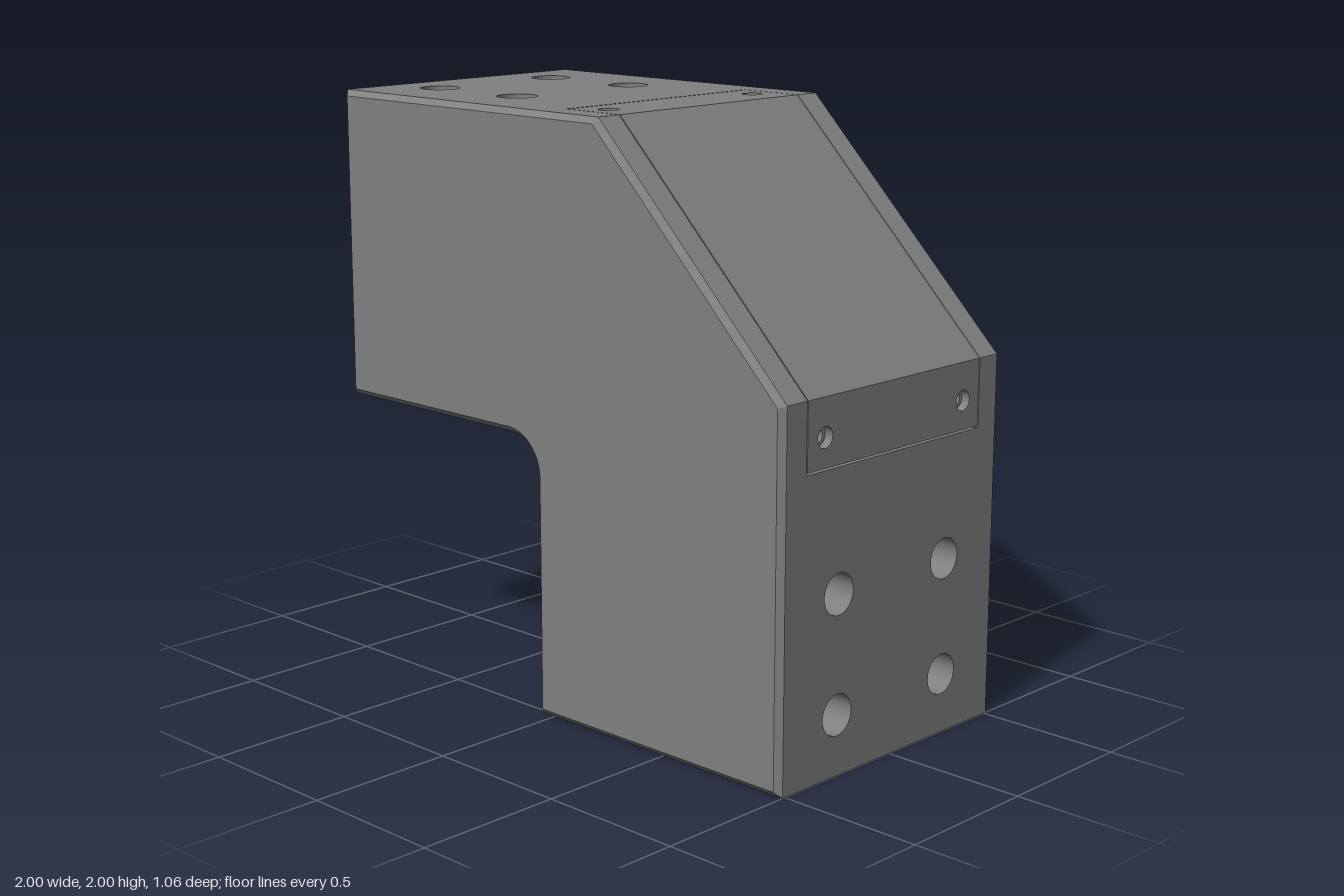
import * as THREE from 'three';

const T = 0.13;      // wall thickness
const HALF = 0.4;    // half width of the square sockets
const BEVEL = 0.02;

export function createModel() {
  const root = new THREE.Group();
  root.name = 'hollowElbowBracket';
  const grey = new THREE.MeshStandardMaterial({ color: 0x808080, side: THREE.DoubleSide });
  grey.name = 'grey';

  const add = (name, geometry, x = 0, y = 0, z = 0, parent = root) => {
    const mesh = new THREE.Mesh(geometry, grey);
    mesh.name = name;
    mesh.position.set(x, y, z);
    parent.add(mesh);
    return mesh;
  };

  // Flat wall from u0 to u1 with pairs of round holes; upright swaps its run from x to y
  const wall = (u0, u1, halfZ, holes, holeZ, r, upright) => {
    const s = new THREE.Shape();
    s.moveTo(u0, -halfZ).lineTo(u1, -halfZ).lineTo(u1, halfZ).lineTo(u0, halfZ).closePath();
    for (const u of holes) for (const side of [-1, 1]) {
      s.holes.push(new THREE.Path().absarc(u, side * holeZ, r, 0, Math.PI * 2, true));
    }
    const g = new THREE.ExtrudeGeometry(s, { depth: T, bevelEnabled: false, curveSegments: 24 });
    g.rotateX(Math.PI / 2);
    if (upright) g.rotateZ(Math.PI / 2);
    return g;
  };

  // Profile in the xy plane, extruded evenly about z = 0
  const across = (shape, halfZ) =>
    new THREE.ExtrudeGeometry(shape, { depth: halfZ * 2, bevelEnabled: false, curveSegments: 16 })
      .translate(0, 0, -halfZ);

  // Side walls with chamfered outlines
  const outline = new THREE.Shape();
  outline.moveTo(-1, 2).lineTo(-1, 0.94).lineTo(-0.19, 0.94);
  outline.absarc(-0.19, 0.81, 0.13, Math.PI / 2, 0, true);
  outline.lineTo(-0.06, 0).lineTo(1, 0).lineTo(1, 1.22).lineTo(0.22, 2).closePath();
  for (const [name, z] of [['leftSideWall', HALF + BEVEL], ['rightSideWall', -0.53 + BEVEL]]) {
    add(name, new THREE.ExtrudeGeometry(outline, {
      depth: T - 2 * BEVEL, bevelSize: BEVEL, bevelThickness: BEVEL,
      bevelOffset: -BEVEL, bevelSegments: 1, curveSegments: 16,
    }), 0, 0, z);
  }

  // Walls with bolt holes around the two arms
  const boltX = [-0.81, -0.42], boltY = [0.2, 0.59];
  add('topWall', wall(-1, -0.018, 0.45, boltX, 0.26, 0.068, false), 0, 2);
  add('undersideWall', wall(-1, -0.19, 0.45, boltX, 0.26, 0.068, false), 0, 0.94 + T);
  add('outerWall', wall(0, 0.992, 0.45, boltY, 0.26, 0.068, true), 1 - T);
  add('innerWall', wall(0, 0.81, 0.45, boltY, 0.26, 0.068, true), -0.06);

  // Rounded inside corner joining the arms
  const corner = new THREE.Shape();
  corner.moveTo(-0.19, 0.94).absarc(-0.19, 0.81, 0.13, Math.PI / 2, 0, true);
  corner.lineTo(0.07, 0.81).lineTo(0.07, 1.07).lineTo(-0.19, 1.07).closePath();
  add('insideCorner', across(corner, 0.45));

  // Bent access cover, fitted with a narrow gap
  const cover = new THREE.Group();
  cover.name = 'accessCover';
  root.add(cover);
  const coverZ = 0.416;
  add('coverTop', wall(-0.012, 0.22, coverZ, [0.09], 0.336, 0.034, false), 0, 2, 0, cover);
  add('coverFront', wall(0.998, 1.22, coverZ, [1.095], 0.336, 0.034, true), 1 - T, 0, 0, cover);
  const slant = new THREE.Shape();
  slant.moveTo(0.22, 2).lineTo(0.166, 1.87).lineTo(0.87, 1.166).lineTo(1, 1.22).closePath();
  add('coverSlope', across(slant, coverZ), 0, 0, 0, cover);

  // Stepped screw recesses in the cover
  const recess = new THREE.LatheGeometry(
    [[0, -0.11], [0.022, -0.11], [0.022, -0.03], [0.036, -0.03]]
      .map(([r, y]) => new THREE.Vector2(r, y)), 24).toNonIndexed();
  recess.computeVertexNormals();
  for (const z of [-0.336, 0.336]) {
    add('topScrewRecess', recess, 0.09, 2, z, cover);
    add('frontScrewRecess', recess, 1, 1.095, z, cover).rotation.z = -Math.PI / 2;
  }

  // Thin ledges behind the cover seams
  add('topLedge', new THREE.BoxGeometry(0.12, 0.02, 0.82), 0.0, 1.865);
  add('outerLedge', new THREE.BoxGeometry(0.02, 0.12, 0.82), 0.865, 0.995);

  // Socket linings: flat cheeks and rounded corner strips
  const fillet = new THREE.Shape();
  const r = 0.06;
  fillet.moveTo(HALF, HALF).lineTo(HALF - r, HALF);
  fillet.absarc(HALF - r, HALF - r, r, Math.PI / 2, 0, true).closePath();
  const strip = new THREE.ExtrudeGeometry(fillet, { depth: 0.99, bevelEnabled: false, curveSegments: 6 });
  const socket = (name) => {
    const g = new THREE.Group();
    g.name = name;
    for (let i = 0; i < 4; i++) add('cornerStrip', strip, 0, 0, 0, g).rotation.z = i * Math.PI / 2;
    root.add(g);
    return g;
  };
  const side = socket('sideSocket');
  side.position.set(-1, 1.47, 0);
  side.rotation.y = Math.PI / 2;
  const bottom = socket('bottomSocket');
  bottom.position.set(0.47, 0, 0);
  bottom.rotation.x = -Math.PI / 2;
  for (const s of [-1, 1]) {
    add('sideSocketCheek', new THREE.BoxGeometry(0.98, 0.9, 0.05), -0.51, 1.47, s * (HALF + 0.025));
    add('bottomSocketCheek', new THREE.BoxGeometry(0.9, 0.98, 0.05), 0.47, 0.49, s * (HALF + 0.025));
  }
  return root;
}
